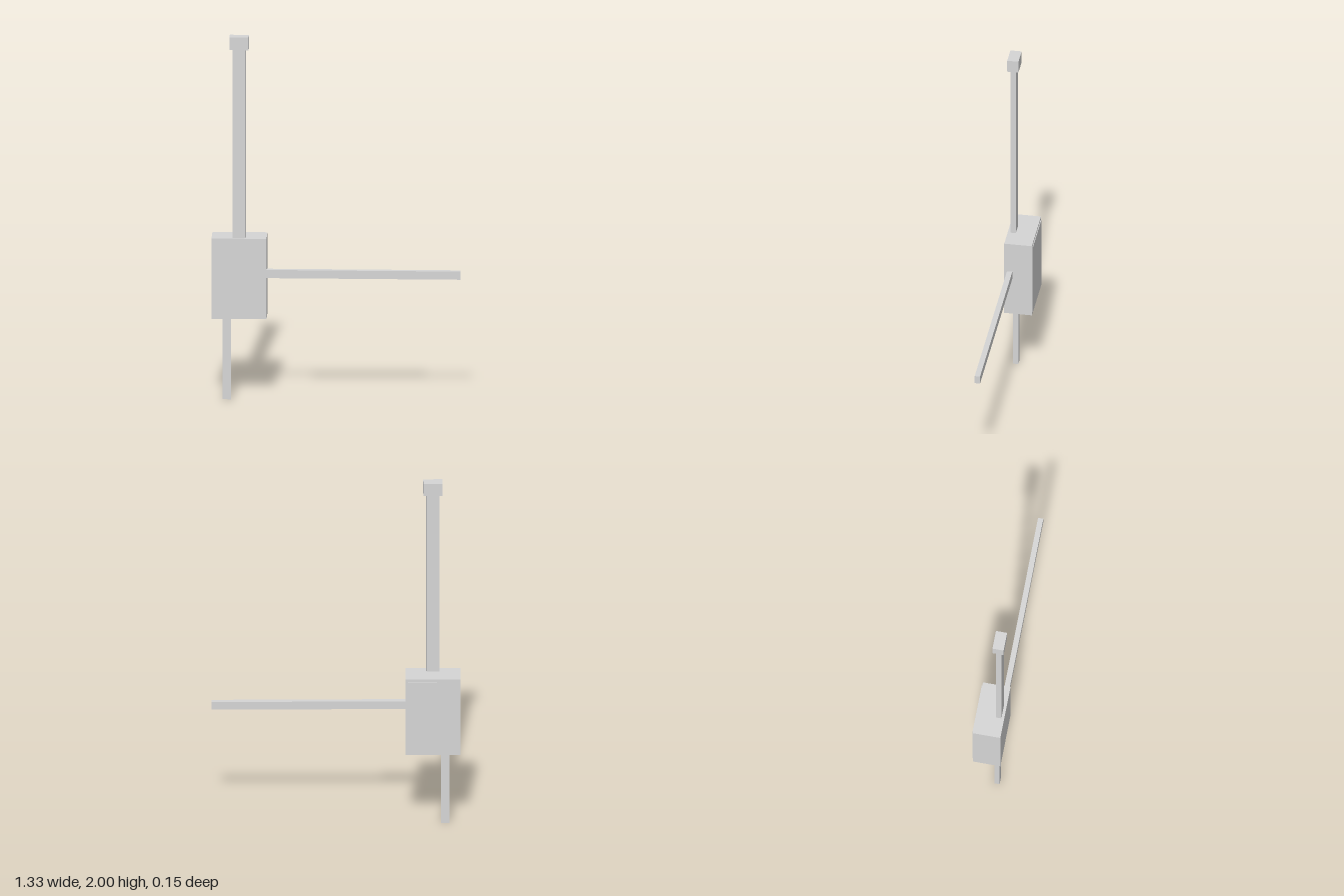
import * as THREE from 'three';

export function createModel() {
  const group = new THREE.Group();
  const grey = new THREE.MeshStandardMaterial({ color: 0xd6d6d6 });
  grey.name = 'lightGrey';

  // Box given by its lower and upper bounds on each axis
  function addBox(name, [x0, x1], [y0, y1], [z0, z1]) {
    const mesh = new THREE.Mesh(new THREE.BoxGeometry(x1 - x0, y1 - y0, z1 - z0), grey);
    mesh.name = name;
    mesh.position.set((x0 + x1) / 2, (y0 + y1) / 2, (z0 + z1) / 2);
    group.add(mesh);
  }

  const barDepth = [0.033, 0.062];

  // Housing with a thin cover on its back
  addBox('housing', [-0.667, -0.372], [0.447, 0.89], [-0.073, 0.077]);
  addBox('backCover', [-0.653, -0.386], [0.461, 0.876], [-0.077, -0.073]);

  // Upright bar and its end cap
  addBox('uprightBar', [-0.556, -0.484], [0.89, 1.93], barDepth);
  addBox('endCap', [-0.571, -0.468], [1.93, 2], [0.016, 0.077]);

  // Side arm and lower rod
  addBox('sideArm', [-0.372, 0.667], [0.67, 0.715], barDepth);
  addBox('lowerRod', [-0.608, -0.563], [0, 0.447], barDepth);

  return group;
}
